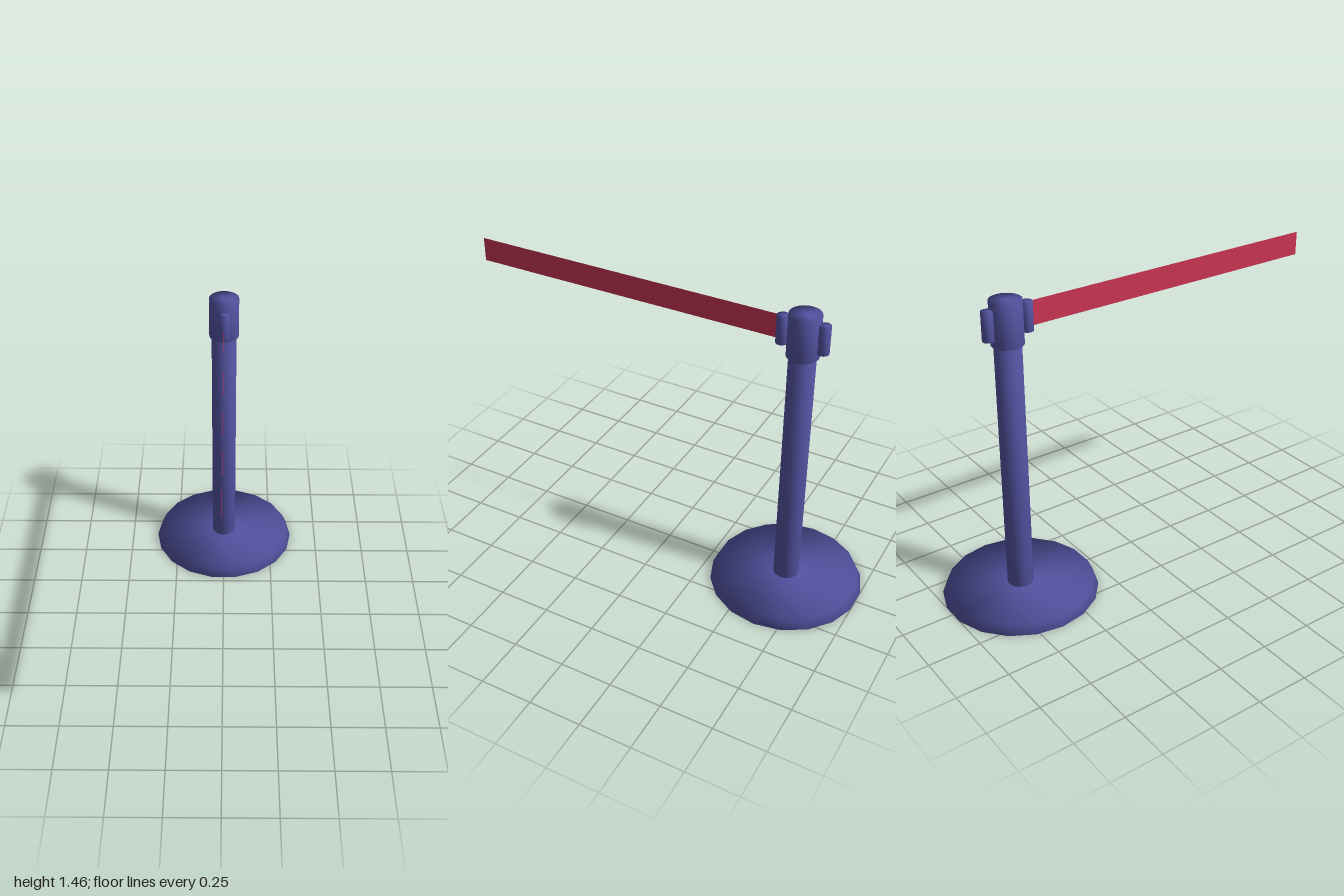
import * as THREE from 'three';

const POST_Z = -0.64;

// Lathed solid whose rims are smoothed over, so caps shade like soft domes
function softLathe(name, profile, sides, material, z = POST_Z) {
  const points = profile.map(([r, y]) => new THREE.Vector2(r, y));
  const geometry = new THREE.LatheGeometry(points, sides, Math.PI / 2);
  const { position, normal } = geometry.attributes;
  const ys = profile.map(p => p[1]);
  const middle = (Math.min(...ys) + Math.max(...ys)) / 2;
  const n = new THREE.Vector3();
  for (let i = 0; i < position.count; i++) {
    const x = position.getX(i), pz = position.getZ(i);
    const up = position.getY(i) > middle ? 1 : -1;
    const r = Math.hypot(x, pz);
    if (r < 1e-5) n.set(0, up, 0);
    else n.set(x / r, 0.2 * up, pz / r).normalize();
    normal.setXYZ(i, n.x, n.y, n.z);
  }
  const mesh = new THREE.Mesh(geometry, material);
  mesh.name = name;
  mesh.position.z = z;
  return mesh;
}

// Profile of a capped cylinder
const rod = (r, y0, y1) => [[0, y0], [r, y0], [r, y1], [0, y1]];

export function createModel() {
  const model = new THREE.Group();
  model.name = 'beltBarrierPost';

  const blue = new THREE.MeshStandardMaterial({ color: 0x5555a6, side: THREE.DoubleSide });
  blue.name = 'blue paint';
  const red = new THREE.MeshStandardMaterial({ color: 0xcf3556, side: THREE.DoubleSide });
  red.name = 'red webbing';

  // Hollow foot, open underneath
  model.add(softLathe('base', [[0.365, 0], [0.345, 0.045], [0, 0.045]], 18, blue));

  // Post and belt head
  model.add(softLathe('pole', rod(0.061, 0.041, 1.26), 24, blue));
  model.add(softLathe('head', rod(0.0725, 1.257, 1.458), 24, blue));

  // Upright clips on the front and back of the head
  model.add(softLathe('frontClip', rod(0.027, 1.293, 1.427), 16, blue, -0.54));
  model.add(softLathe('backClip', rod(0.027, 1.293, 1.427), 16, blue, -0.73));

  // Flat belt pulled out towards the front
  const beltStart = -0.53, beltEnd = 1;
  const belt = new THREE.Mesh(new THREE.PlaneGeometry(beltEnd - beltStart, 0.115), red);
  belt.name = 'belt';
  belt.rotation.y = Math.PI / 2;
  belt.position.set(0, 1.367, (beltStart + beltEnd) / 2);
  model.add(belt);

  return model;
}
